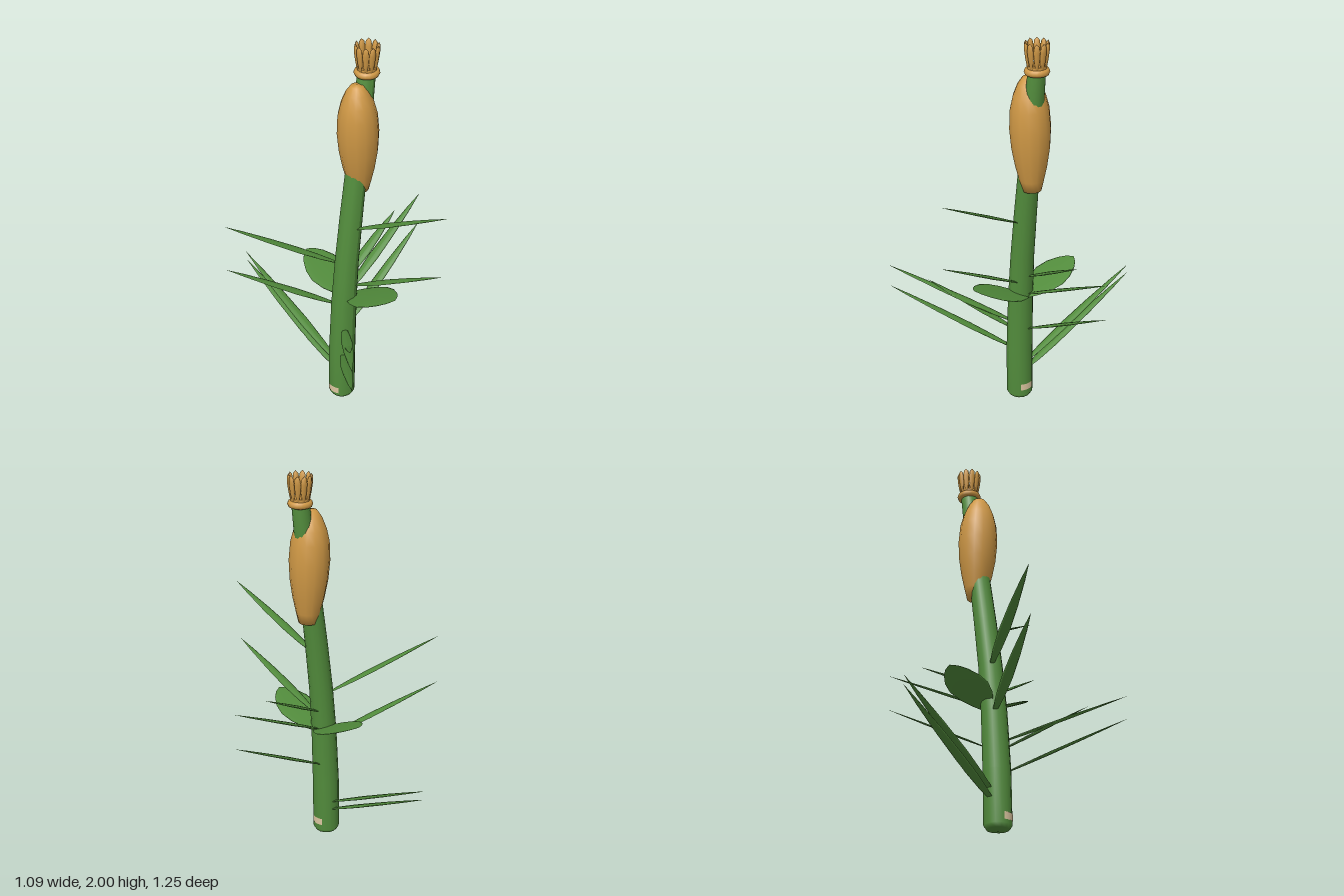
import * as THREE from 'three';

const green = new THREE.MeshStandardMaterial({ color: 0x528c3c });
green.name = 'leaf green';
const gold = new THREE.MeshStandardMaterial({ color: 0xcf9845 });
gold.name = 'spike gold';
const cream = new THREE.MeshStandardMaterial({ color: 0xdcc6a0, side: THREE.DoubleSide });
cream.name = 'scar cream';

const V = (x, y, z) => new THREE.Vector3(x, y, z);
const Z = 0.095; // depth of the stem axis

// Stem axis x and radius by height: [y, x, radius]
const AXIS = [[0, -0.1, 0.068], [0.3, -0.097, 0.068], [0.6, -0.084, 0.064], [0.85, -0.064, 0.06],
  [1.1, -0.034, 0.057], [1.35, -0.001, 0.053], [1.6, 0.033, 0.048], [1.88, 0.066, 0.043]];
function stemX(y) {
  let i = 0;
  while (i < AXIS.length - 2 && y > AXIS[i + 1][0]) i++;
  const [a, b] = [AXIS[i], AXIS[i + 1]];
  return a[1] + (b[1] - a[1]) * (y - a[0]) / (b[0] - a[0]);
}

function lathe(profile, sides) {
  return new THREE.LatheGeometry(profile.map(([r, y]) => new THREE.Vector2(r, y)), sides);
}

function add(group, name, geometry, material) {
  const mesh = new THREE.Mesh(geometry, material);
  mesh.name = name;
  group.add(mesh);
  return mesh;
}

// Flattened pointed body lying from base to tip, its width kept level
function leafGeometry(base, tip, shape, sides, flatness) {
  const dir = tip.clone().sub(base);
  const length = dir.length();
  dir.normalize();
  const side = dir.clone().cross(V(0, 1, 0)).normalize();
  const normal = side.clone().cross(dir);
  const geo = lathe(shape.map(([r, t]) => [r, t * length]), sides);
  geo.scale(1, 1, flatness);
  geo.applyMatrix4(new THREE.Matrix4().makeBasis(side, dir, normal).setPosition(base));
  geo.computeVertexNormals();
  return geo;
}

export function createModel() {
  const group = new THREE.Group();

  // Stem: lathe bent along its axis
  const stemGeo = lathe([[0, 0.005], [0.055, 0.015], [0.068, 0.035],
    ...AXIS.slice(1).map(([y, , r]) => [r, y]), [0, 1.88]], 14);
  const p = stemGeo.attributes.position;
  for (let i = 0; i < p.count; i++) p.setXYZ(i, p.getX(i) + stemX(p.getY(i)), p.getY(i), p.getZ(i) + Z);
  stemGeo.computeVertexNormals();
  add(group, 'stem', stemGeo, green);

  // Pale scars either side of the foot
  for (const [angle, y] of [[Math.PI / 2, 0.085], [-Math.PI / 2, 0.068]]) {
    const scar = add(group, 'scar',
      new THREE.CylinderGeometry(0.07, 0.07, 0.036, 6, 1, true, angle - 0.52, 1.04), cream);
    scar.position.set(-0.1, y, Z);
  }

  // Swollen spike around the upper stem
  const pod = add(group, 'spike', lathe([[0, 0], [0.046, 0], [0.06, 0.055], [0.078, 0.13], [0.093, 0.22],
    [0.1, 0.32], [0.094, 0.415], [0.078, 0.48], [0.055, 0.535], [0.03, 0.57], [0, 0.575]], 14), gold);
  pod.position.set(0.022, 1.24, Z);
  pod.rotation.z = 0.04;

  // Crown: collar, floor and a ring of scales
  const crown = new THREE.Group();
  crown.name = 'crown';
  crown.position.set(0.065, 1.855, Z);
  group.add(crown);
  const collar = add(crown, 'collar', new THREE.TorusGeometry(0.043, 0.018, 8, 20), gold);
  collar.rotation.x = Math.PI / 2;
  const floor = add(crown, 'crownFloor', new THREE.CylinderGeometry(0.046, 0.046, 0.03, 16), gold);
  floor.position.y = 0.015;
  const scale = lathe([[0, 0], [0.008, 0.012], [0.014, 0.05], [0.017, 0.095], [0.013, 0.122], [0, 0.136]], 7);
  scale.scale(1, 1, 0.6);
  scale.rotateX(0.1);
  for (let i = 0; i < 10; i++) {
    const holder = new THREE.Group();
    holder.name = 'crownScaleHolder';
    holder.rotation.y = (i + 0.5) * Math.PI / 5;
    crown.add(holder);
    add(holder, 'crownScale', scale, gold).position.set(0, 0.01, 0.041);
  }

  // Long narrow blades: [base, tip]
  const bladeShape = [[0, 0], [0.012, 0.01], [0.022, 0.15], [0.028, 0.35], [0.023, 0.6], [0.012, 0.84], [0, 1]];
  const blades = [
    [[-0.1, 0.84, 0.055], [-0.535, 1.12, -0.26]],
    [[-0.115, 0.59, 0.055], [-0.54, 0.865, -0.26]],
    [[-0.11, 0.455, 0.125], [-0.545, 0.74, 0.59]],
    [[-0.12, 0.295, 0.125], [-0.545, 0.622, 0.59]],
    [[-0.11, 0.415, 0.125], [-0.405, 0.672, 0.445]],
    [[-0.04, 0.635, 0.08], [0.54, 0.93, 0.038]],
    [[-0.04, 0.43, 0.08], [0.54, 0.745, 0.038]],
    [[-0.04, 0.735, 0.08], [0.335, 0.93, 0.05]],
    [[-0.04, 1.05, 0.135], [0.045, 1.307, 0.625]],
    [[-0.05, 0.715, 0.14], [0.027, 0.98, 0.625]],
    [[-0.098, 0.195, 0.05], [-0.098, 0.552, -0.62]],
    [[-0.098, 0.15, 0.05], [-0.098, 0.505, -0.62]],
    [[-0.098, 0.15, 0.05], [-0.098, 0.415, -0.45]],
  ];
  for (const [base, tip] of blades) {
    add(group, 'blade', leafGeometry(V(...base), V(...tip), bladeShape, 8, 0.2), green);
  }

  // Two broad tilted pads, front and back
  const padShape = [[0, 0], [0.035, 0.01], [0.065, 0.13], [0.096, 0.3], [0.112, 0.5],
    [0.1, 0.68], [0.07, 0.84], [0.038, 0.94], [0, 1]];
  for (const s of [1, -1]) {
    const geo = leafGeometry(V(-0.043, 0.63, Z), V(-0.043, 0.755, Z + s * 0.305), padShape, 16, 0.05);
    add(group, 'pad', geo, green);
  }
  return group;
}
